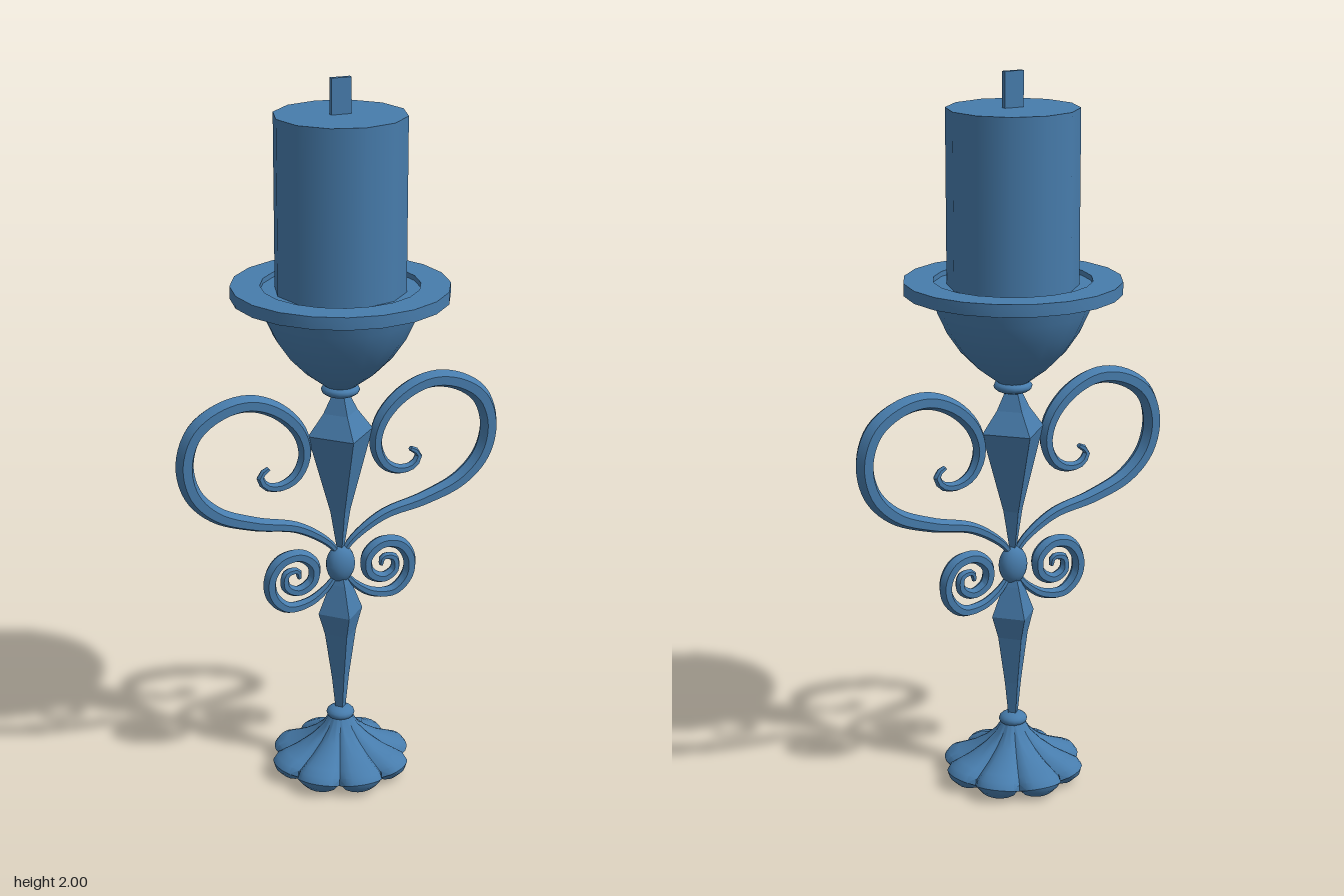
import * as THREE from 'three';
import { toCreasedNormals } from 'three/addons/utils/BufferGeometryUtils.js';

const BLUE = 0x477cac;
const smooth = new THREE.MeshStandardMaterial({ color: BLUE, side: THREE.DoubleSide });
const flat = new THREE.MeshStandardMaterial({ color: BLUE, flatShading: true });

function add(group, name, geometry, material = smooth) {
  const mesh = new THREE.Mesh(geometry, material);
  mesh.name = name;
  group.add(mesh);
  return mesh;
}

// Lathe from [radius, height] pairs listed bottom to top
function lathe(profile, sides) {
  return new THREE.LatheGeometry(profile.map(([r, y]) => new THREE.Vector2(r, y)), sides);
}

// Tapered six-sided bar along a curve in the xy plane; the radius is a function of t
function scroll(points, radiusAt, steps = 72, sides = 6) {
  const curve = new THREE.CatmullRomCurve3(points.map(([x, y]) => new THREE.Vector3(x, y, 0)));
  const pos = [], index = [];
  for (let i = 0; i <= steps; i++) {
    const t = i / steps;
    const p = curve.getPointAt(t), d = curve.getTangentAt(t), r = radiusAt(t);
    for (let j = 0; j < sides; j++) {
      const a = (j / sides) * Math.PI * 2;
      const n = Math.cos(a) * r;
      pos.push(p.x - d.y * n, p.y + d.x * n, Math.sin(a) * r * 1.22);
      if (i < steps) {
        const k = (j + 1) % sides, b = i * sides;
        index.push(b + j, b + k, b + sides + j, b + k, b + sides + k, b + sides + j);
      }
    }
  }
  // End caps
  const last = steps * sides;
  for (let j = 1; j < sides - 1; j++) {
    index.push(0, j + 1, j, last, last + j, last + j + 1);
  }
  const g = new THREE.BufferGeometry();
  g.setAttribute('position', new THREE.Float32BufferAttribute(pos, 3));
  g.setIndex(index);
  return toCreasedNormals(g, 0.7);
}

// Petalled foot: a lathe whose rim is pinched between eight petals
function footGeometry() {
  const g = lathe([
    [0, 0.03], [0.08, 0.015], [0.14, 0], [0.175, 0.008], [0.195, 0.027], [0.2, 0.045],
    [0.188, 0.062], [0.16, 0.073], [0.12, 0.09], [0.08, 0.115], [0.05, 0.142], [0.033, 0.17], [0, 0.17],
  ], 64);
  const p = g.attributes.position;
  for (let i = 0; i < p.count; i++) {
    const x = p.getX(i), y = p.getY(i), z = p.getZ(i);
    const out = Math.hypot(x, z) / 0.2;
    const valley = 1 - Math.sqrt(Math.abs(Math.cos(4 * Math.atan2(x, z))));
    const s = 1 - 0.16 * valley * out;
    const lift = y < 0.04 ? 0.022 * valley * out : -0.016 * valley * out;
    p.setXYZ(i, x * s, y + lift, z * s);
  }
  return toCreasedNormals(g, 0.7);
}

function collar(group, name, y, radius, tube) {
  const m = add(group, name, new THREE.SphereGeometry(1, 16, 10));
  m.scale.set(radius, tube, radius);
  m.position.y = y;
}

export function createModel() {
  const model = new THREE.Group();
  model.name = 'candleholder';

  // Foot and stem
  add(model, 'foot', footGeometry());
  collar(model, 'footCollar', 0.177, 0.04, 0.021);
  add(model, 'lowerSpindle', lathe([
    [0, 0.18], [0.014, 0.18], [0.026, 0.29], [0.047, 0.43], [0.066, 0.495], [0.032, 0.58], [0.012, 0.62], [0, 0.62],
  ], 4), flat);
  const bead = add(model, 'centreBead', new THREE.SphereGeometry(1, 16, 12));
  bead.scale.set(0.042, 0.055, 0.032);
  bead.position.y = 0.64;
  add(model, 'upperSpindle', lathe([
    [0, 0.67], [0.008, 0.67], [0.03, 0.8], [0.095, 1.03], [0.05, 1.09], [0.025, 1.14], [0, 1.14],
  ], 4), flat);
  collar(model, 'bowlCollar', 1.155, 0.053, 0.021);

  // Mirrored pairs of scrolls
  const large = [
    [0.005, 0.67], [0.037, 0.71], [0.127, 0.768], [0.25, 0.798], [0.36, 0.842], [0.425, 0.91],
    [0.445, 1.0], [0.416, 1.085], [0.345, 1.135], [0.262, 1.148], [0.18, 1.115], [0.12, 1.05],
    [0.104, 0.98], [0.13, 0.92], [0.175, 0.897], [0.218, 0.905], [0.233, 0.935], [0.208, 0.954],
  ];
  const small = [
    [0.015, 0.605], [0.045, 0.57], [0.095, 0.538], [0.16, 0.533], [0.203, 0.575], [0.207, 0.63],
    [0.175, 0.675], [0.12, 0.683], [0.08, 0.648], [0.085, 0.6], [0.127, 0.577], [0.163, 0.597],
    [0.16, 0.634], [0.128, 0.638], [0.122, 0.615],
  ];
  for (const side of [1, -1]) {
    const name = side > 0 ? 'left' : 'right';
    const mirror = (pts) => pts.map(([x, y]) => [x * side, y]);
    add(model, name + 'LargeScroll', scroll(mirror(large),
      (t) => 0.007 + 0.0185 * Math.pow(Math.max(0, Math.sin(Math.PI * t)), 0.7)));
    add(model, name + 'SmallScroll', scroll(mirror(small),
      (t) => 0.006 + 0.013 * Math.pow(Math.max(0, Math.sin(Math.PI * t)), 0.6)));
  }

  // Bowl with a flat rim and a shallow floor under the candle
  add(model, 'bowl', lathe([
    [0, 1.16], [0.04, 1.165], [0.097, 1.208], [0.143, 1.255], [0.179, 1.308], [0.205, 1.365], [0.22, 1.425],
  ], 20));
  add(model, 'rim', toCreasedNormals(lathe([
    [0.214, 1.415], [0.294, 1.415], [0.294, 1.449], [0.214, 1.449], [0.214, 1.415],
  ], 20), 0.6));
  add(model, 'bowlFloor', lathe([[0.216, 1.435], [0, 1.435]], 20));

  // Candle and flat wick
  const candle = add(model, 'candle', new THREE.CylinderGeometry(0.177, 0.177, 0.475, 12));
  candle.position.y = 1.6675;
  const wick = add(model, 'wick', new THREE.BoxGeometry(0.056, 0.12, 0.014));
  wick.position.y = 1.94;

  return model;
}
